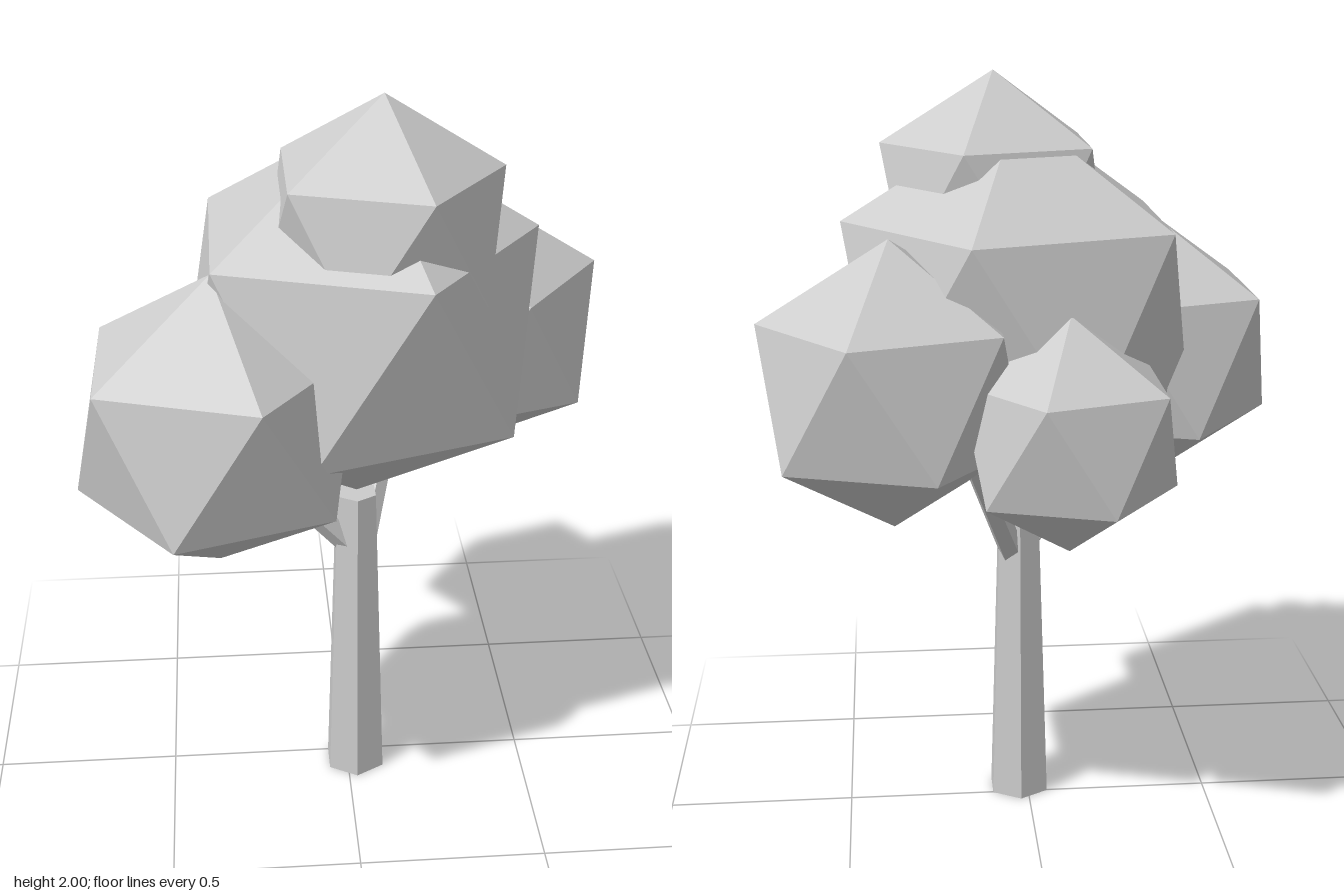
import * as THREE from 'three';

const grey = new THREE.MeshStandardMaterial({ color: 0xcccccc, flatShading: true });
grey.name = 'plain grey';

// Icosahedron standing on a vertex: two poles and two staggered rings of five
function clumpGeometry(radius) {
  const verts = [0, 1, 0, 0, -1, 0];
  const h = 1 / Math.sqrt(5), r = 2 / Math.sqrt(5);
  for (let i = 0; i < 5; i++) {
    const a = (i * 2 * Math.PI) / 5, b = a + Math.PI / 5;
    verts.push(r * Math.cos(a), h, r * Math.sin(a));
    verts.push(r * Math.cos(b), -h, r * Math.sin(b));
  }
  const faces = [];
  for (let i = 0; i < 5; i++) {
    const j = (i + 1) % 5;
    const u0 = 2 + 2 * i, l0 = u0 + 1, u1 = 2 + 2 * j, l1 = u1 + 1;
    faces.push(0, u1, u0, u0, u1, l0, u1, l1, l0, 1, l0, l1);
  }
  return new THREE.PolyhedronGeometry(verts, faces, radius, 0);
}

// Tapered limb between two points
function limb(name, from, to, r0, r1, sides) {
  const a = new THREE.Vector3(...from), b = new THREE.Vector3(...to);
  const dir = b.clone().sub(a);
  const mesh = new THREE.Mesh(new THREE.CylinderGeometry(r1, r0, dir.length(), sides), grey);
  mesh.position.copy(a).add(b).multiplyScalar(0.5);
  mesh.quaternion.setFromUnitVectors(new THREE.Vector3(0, 1, 0), dir.normalize());
  mesh.name = name;
  return mesh;
}

export function createModel() {
  const tree = new THREE.Group();
  tree.name = 'tree';

  // Trunk and its two branches
  tree.add(
    limb('trunk', [0.023, 0, 0.042], [0.023, 0.89, 0.042], 0.088, 0.059, 6),
    limb('rightBranch', [0.02, 0.72, 0.05], [-0.26, 1.04, 0.1], 0.036, 0.03, 5),
    limb('leftBranch', [0.043, 0.72, 0.025], [0.17, 1.1, -0.27], 0.036, 0.03, 5)
  );

  // Leaf clumps: name, centre, radius
  const clumps = [
    ['topFoliage', [0.08, 1.67, 0.128], 0.33],
    ['mainFoliage', [0.025, 1.402, 0.04], 0.509],
    ['rightFoliage', [-0.343, 1.225, 0.27], 0.39],
    ['leftFoliage', [0.36, 1.26, -0.225], 0.369],
    ['backFoliage', [-0.075, 1.156, -0.346], 0.301]
  ];
  for (const [name, centre, radius] of clumps) {
    const mesh = new THREE.Mesh(clumpGeometry(radius), grey);
    mesh.name = name;
    mesh.position.set(...centre);
    tree.add(mesh);
  }
  return tree;
}
